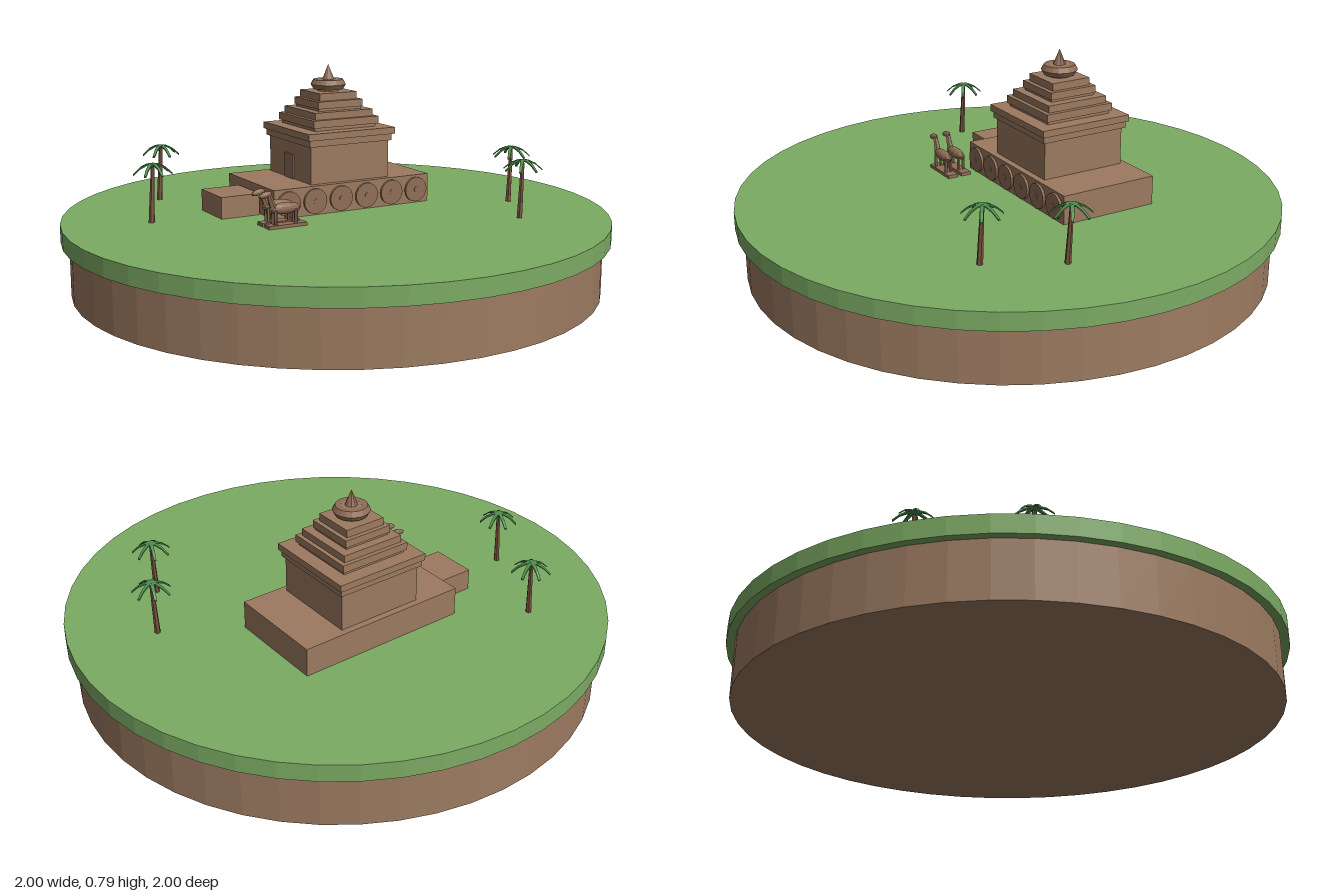
import * as THREE from 'three';

const mat = (name, color, extra = {}) =>
  Object.assign(new THREE.MeshStandardMaterial({ color, flatShading: true, ...extra }), { name });

export function createModel() {
  const grass = mat('grass green', 0x7cab64);
  const earth = mat('earth brown', 0x9c7b61);
  const stone = mat('sandstone', 0x9c7a60);
  const carved = mat('carved stone', 0x8f6d56);
  const bark = mat('bark', 0x7a5540);
  const leaf = mat('palm leaf', 0x4d8f4e, { side: THREE.DoubleSide });

  const model = new THREE.Group();
  const GROUND = 0.265;

  const add = (parent, name, geo, material, x = 0, y = 0, z = 0) => {
    const mesh = new THREE.Mesh(geo, material);
    mesh.name = name;
    mesh.position.set(x, y, z);
    parent.add(mesh);
    return mesh;
  };
  // box given by its bottom height and top height
  const block = (parent, name, w, d, y0, y1, material, x = 0, z = 0) =>
    add(parent, name, new THREE.BoxGeometry(w, y1 - y0, d), material, x, (y0 + y1) / 2, z);
  // cylinder running between two points
  const rod = (parent, name, a, b, r0, r1, material, sides = 6) => {
    const dir = b.clone().sub(a);
    const mesh = add(parent, name, new THREE.CylinderGeometry(r1, r0, dir.length(), sides), material);
    mesh.position.copy(a).add(b).multiplyScalar(0.5);
    mesh.quaternion.setFromUnitVectors(new THREE.Vector3(0, 1, 0), dir.normalize());
    return mesh;
  };
  const V = (x, y, z) => new THREE.Vector3(x, y, z);

  // round island
  add(model, 'earthBase', new THREE.CylinderGeometry(0.97, 0.97, 0.2, 48), earth, 0, 0.1, 0);
  add(model, 'grassDisc', new THREE.CylinderGeometry(1, 1, 0.065, 48), grass, 0, 0.2325, 0);

  // temple group, turned on the island
  const temple = new THREE.Group();
  temple.name = 'temple';
  temple.position.set(0.123, 0, -0.143);
  temple.rotation.y = -0.35;
  model.add(temple);

  block(temple, 'platform', 0.66, 0.38, GROUND, 0.372, stone);
  block(temple, 'entranceStep', 0.152, 0.176, GROUND, 0.345, stone, -0.414);
  block(temple, 'sanctum', 0.33, 0.33, 0.372, 0.515, stone);
  block(temple, 'door', 0.008, 0.07, 0.372, 0.465, carved, -0.167);

  // stepped roof: width, bottom, top
  [
    [0.35, 0.512, 0.537], [0.367, 0.537, 0.562], [0.26, 0.562, 0.574],
    [0.277, 0.574, 0.602], [0.245, 0.602, 0.628], [0.18, 0.628, 0.637],
    [0.19, 0.637, 0.664], [0.157, 0.664, 0.692],
  ].forEach(([w, y0, y1], i) => block(temple, `roofTier${i + 1}`, w, w, y0, y1, stone));

  // crowning ring and finial
  add(temple, 'crownNeck', new THREE.CylinderGeometry(0.04, 0.04, 0.05, 16), stone, 0, 0.71, 0);
  const ring = add(temple, 'crownRing', new THREE.TorusGeometry(0.046, 0.021, 6, 20), carved, 0, 0.717, 0);
  ring.rotation.x = Math.PI / 2;
  add(temple, 'finial', new THREE.ConeGeometry(0.024, 0.06, 10), carved, 0, 0.762, 0);

  // six wheels along the front of the platform
  for (let i = 0; i < 6; i++) {
    const x = (i - 2.5) * 0.109;
    const wheel = add(temple, 'wheel', new THREE.CylinderGeometry(0.047, 0.047, 0.012, 20), carved, x, 0.317, 0.193);
    wheel.rotation.x = Math.PI / 2;
    const hub = add(temple, 'wheelHub', new THREE.CylinderGeometry(0.01, 0.01, 0.016, 10), carved, x, 0.317, 0.193);
    hub.rotation.x = Math.PI / 2;
  }

  // pair of stone horses facing away from the temple
  for (const z of [0.245, 0.3]) {
    const horse = new THREE.Group();
    horse.name = 'horse';
    horse.position.set(-0.35, 0, z);
    temple.add(horse);
    block(horse, 'horsePlinth', 0.15, 0.04, GROUND, 0.277, carved, 0.01);
    const ball = new THREE.SphereGeometry(1, 10, 8);
    add(horse, 'horseBody', ball, carved, 0.005, 0.332, 0).scale.set(0.062, 0.021, 0.019);
    rod(horse, 'horseNeck', V(-0.038, 0.335, 0), V(-0.056, 0.385, 0), 0.013, 0.009, carved);
    const head = add(horse, 'horseHead', ball, carved, -0.07, 0.386, 0);
    head.scale.set(0.027, 0.011, 0.011);
    head.rotation.z = 0.25;
    for (const lx of [-0.035, 0.045])
      for (const lz of [-0.01, 0.01])
        rod(horse, 'horseLeg', V(lx, 0.272, lz), V(lx, 0.328, lz), 0.006, 0.007, carved);
  }

  // palm trees with seven bent leaves
  for (const [x, z] of [[-0.27, -0.655], [-0.55, -0.385], [0.575, 0.39], [0.36, 0.575]]) {
    const palm = new THREE.Group();
    palm.name = 'palmTree';
    palm.position.set(x, 0, z);
    model.add(palm);
    rod(palm, 'palmTrunk', V(-0.012, GROUND, 0), V(0, 0.465, 0), 0.011, 0.007, bark);
    for (let i = 0; i < 7; i++) {
      const spoke = new THREE.Group();
      spoke.name = 'palmLeaf';
      spoke.rotation.y = (i / 7) * Math.PI * 2;
      palm.add(spoke);
      const blade = new THREE.BoxGeometry(0.072, 0.005, 0.015, 3, 1, 1);
      const p = blade.attributes.position;
      for (let k = 0; k < p.count; k++) {
        const t = p.getX(k) / 0.072 + 0.5;
        p.setY(k, p.getY(k) + 0.012 * t - 0.045 * t * t);
        p.setZ(k, p.getZ(k) * (1 - 0.4 * t));
      }
      blade.computeVertexNormals();
      add(spoke, 'leafBlade', blade, leaf, 0.034, 0.474, 0);
    }
  }
  return model;
}
